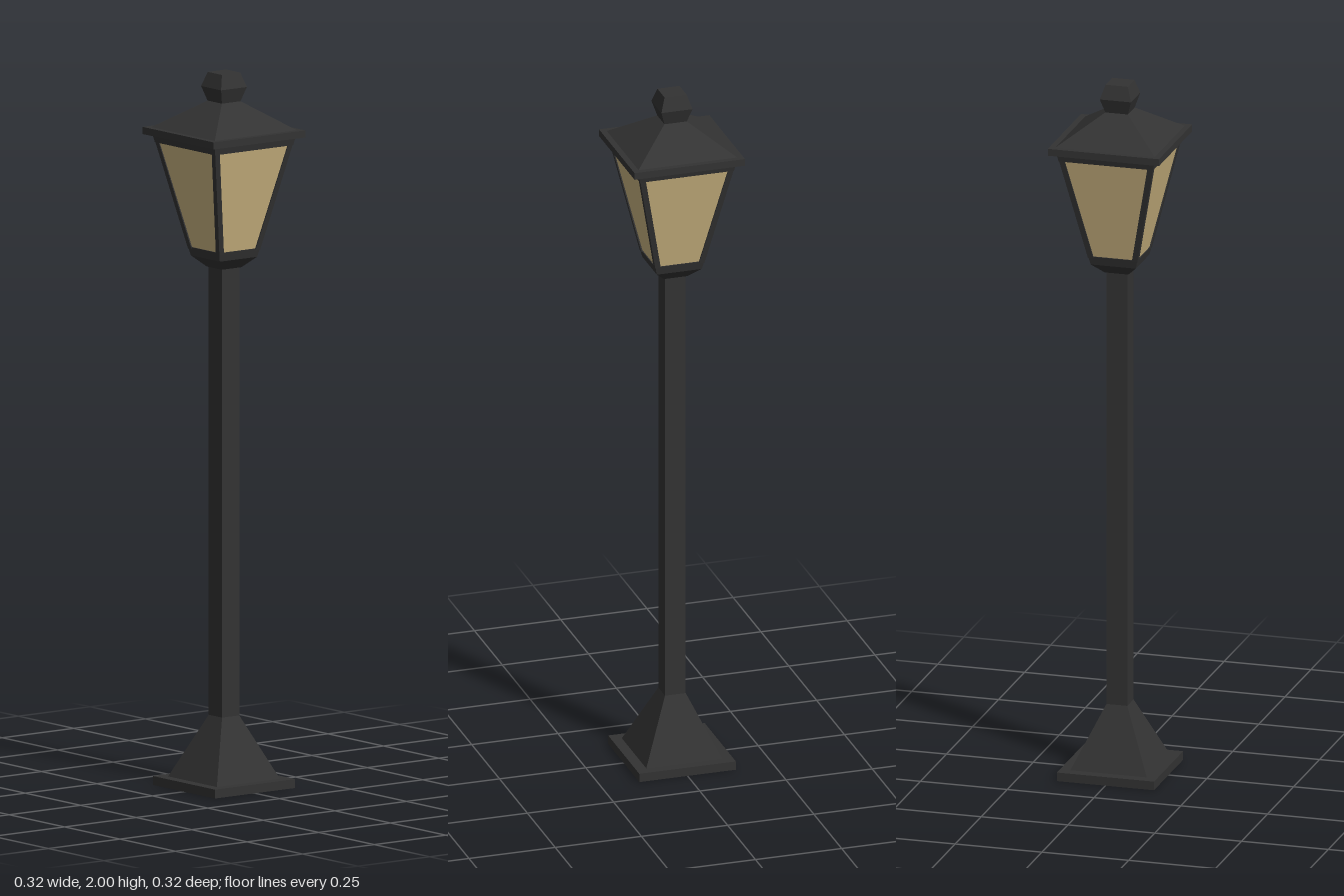
import * as THREE from 'three';

const iron = new THREE.MeshStandardMaterial({ color: 0x333333 });
iron.name = 'dark iron';
const amber = new THREE.MeshStandardMaterial({ color: 0xcdb682 });
amber.name = 'amber glass';

// Box whose lower and upper squares have their own half width and centre
function taper(name, material, y0, y1, half0, half1, c0 = [0, 0], c1 = [0, 0]) {
  const geometry = new THREE.BoxGeometry(2, 2, 2);
  const p = geometry.attributes.position;
  for (let i = 0; i < p.count; i++) {
    const top = p.getY(i) > 0;
    const half = top ? half1 : half0;
    const c = top ? c1 : c0;
    p.setXYZ(i, c[0] + p.getX(i) * half, top ? y1 : y0, c[1] + p.getZ(i) * half);
  }
  geometry.computeVertexNormals();
  const mesh = new THREE.Mesh(geometry, material);
  mesh.name = name;
  return mesh;
}

export function createModel() {
  const lamp = new THREE.Group();
  lamp.name = 'streetLamp';

  // Foot and pole
  lamp.add(
    taper('basePlate', iron, 0, 0.025, 0.14, 0.14),
    taper('baseSkirt', iron, 0.025, 0.2, 0.11, 0.03),
    taper('pole', iron, 0.2, 1.46, 0.03, 0.03),
  );

  // Lantern: cup, lower band, glass body, upper band
  const lantern = new THREE.Group();
  lantern.name = 'lantern';
  lantern.add(
    taper('lanternCup', iron, 1.455, 1.485, 0.034, 0.065),
    taper('lowerBand', iron, 1.485, 1.51, 0.065, 0.071),
    taper('glass', amber, 1.51, 1.8, 0.068, 0.132),
    taper('upperBand', iron, 1.8, 1.822, 0.136, 0.141),
  );
  // Slanted corner posts
  const r = 0.008;
  for (const sx of [-1, 1]) {
    for (const sz of [-1, 1]) {
      const low = 0.071 - r;
      const high = 0.136 - r;
      lantern.add(taper('cornerPost', iron, 1.505, 1.805, r, r,
        [sx * low, sz * low], [sx * high, sz * high]));
    }
  }
  lamp.add(lantern);

  // Roof and finial
  lamp.add(
    taper('roofEave', iron, 1.822, 1.842, 0.16, 0.16),
    taper('roof', iron, 1.842, 1.92, 0.143, 0.032),
    taper('finialLower', iron, 1.915, 1.96, 0.031, 0.045),
    taper('finialUpper', iron, 1.96, 2, 0.045, 0.032),
  );
  return lamp;
}
